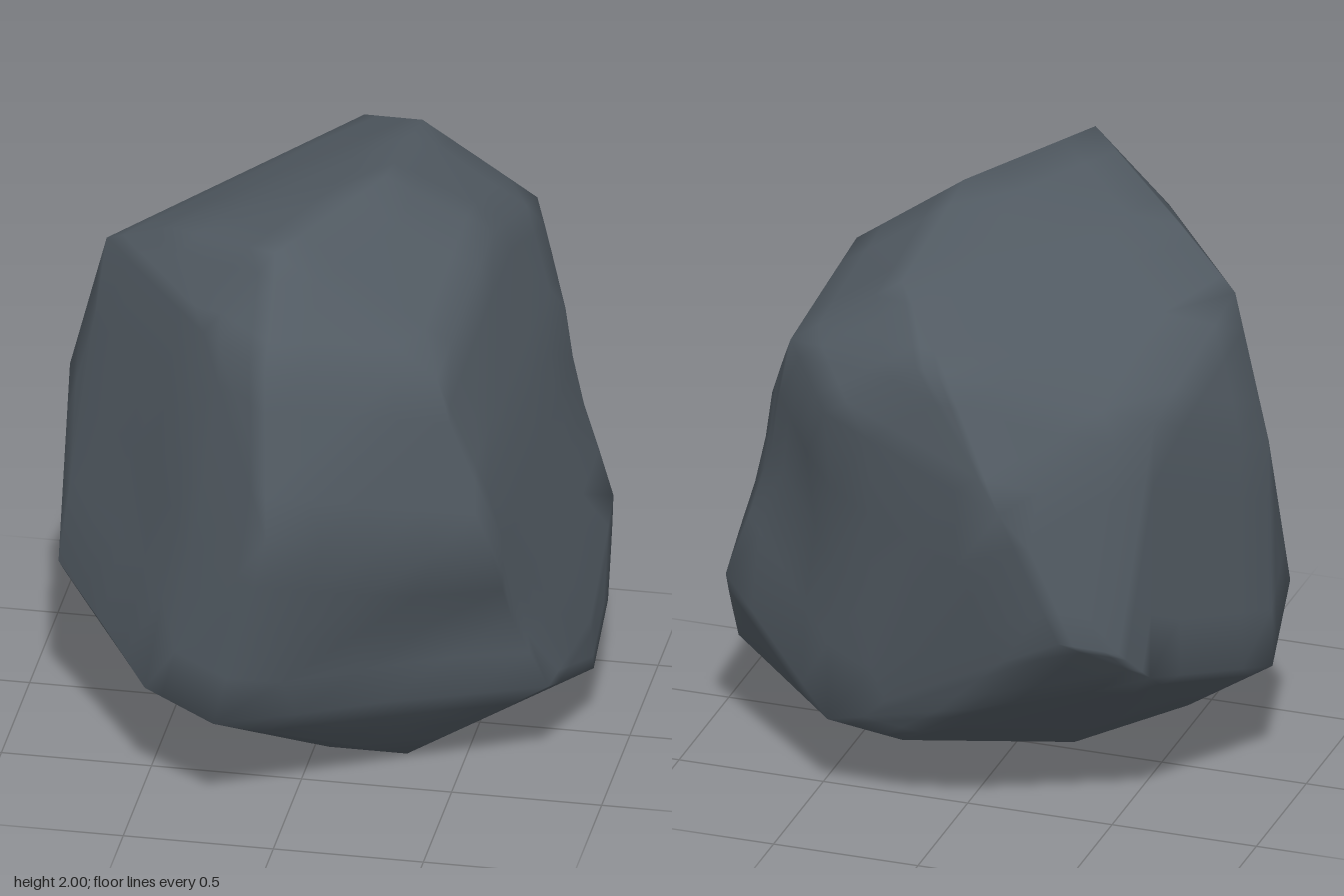
import * as THREE from 'three';
import { ConvexGeometry } from 'three/addons/geometries/ConvexGeometry.js';
import { mergeVertices } from 'three/addons/utils/BufferGeometryUtils.js';

// Corners of the boulder, grouped by region
const crown = [
  [-0.07, 1.98, 0.58], [0.19, 2, 0.02], [0.2, 1.9, -0.58], [0.53, 1.78, -0.08],
  [0.58, 1.64, -0.6], [0.39, 1.5, -0.82], [-0.05, 1.74, -0.88], [0.05, 1.74, -0.87],
  [-0.49, 1.85, 0.22], [-0.73, 1.71, 0.07], [-0.06, 1.67, 0.83], [0.47, 1.58, 0.6],
  [-0.3, 1.7, 0.65], [-0.65, 1.49, -0.51],
];
const waist = [
  [-0.03, 1.12, 0.97], [0.64, 0.92, 0.59], [0.63, 1.15, 0.55], [0.72, 1.34, -0.42],
  [-0.27, 1.3, -0.97], [-0.45, 0.83, -0.9], [-0.61, 0.75, -0.75], [-0.67, 0.61, -0.61],
  [-0.86, 1.21, 0.03], [-0.855, 0.6, 0.26], [0.87, 0.66, -0.42], [-0.38, 1.18, 0.66],
];
const foot = [
  [-0.22, 0.39, 0.9], [-0.48, 0.41, 0.73], [-0.89, 0.42, -0.02], [-0.55, 0.16, 0.12],
  [-0.1, 0.47, -0.75], [0.06, 0.25, -0.48], [0.18, 0.26, -0.63], [0.43, 0.31, -0.66],
  [0.87, 0.21, -0.05], [0.88, 0.36, -0.25], [0.865, 0.4, -0.02], [0.79, 0.33, 0.33],
  [0.31, 0.01, 0.28], [-0.18, 0, 0.05], [0.05, 0.01, 0.28],
];

// Shallow hollows: centre, radius, push
const hollows = [
  { at: new THREE.Vector3(0.42, 0.58, 0.65), radius: 0.22, push: new THREE.Vector3(-0.02, 0, -0.07) },
  { at: new THREE.Vector3(0.72, 0.58, 0.44), radius: 0.14, push: new THREE.Vector3(-0.03, 0, -0.03) },
  { at: new THREE.Vector3(0.64, 1.05, -0.63), radius: 0.3, push: new THREE.Vector3(-0.05, 0, 0.05) },
  { at: new THREE.Vector3(-0.5, 0.75, 0.52), radius: 0.2, push: new THREE.Vector3(0.02, 0, -0.03) },
];

// Splits every triangle into four, keeping the flat facets
function subdivide(triangles) {
  return triangles.flatMap(([a, b, c]) => {
    const mid = (p, q) => p.clone().add(q).multiplyScalar(0.5);
    const ab = mid(a, b), bc = mid(b, c), ca = mid(c, a);
    return [[a, ab, ca], [ab, b, bc], [ca, bc, c], [ab, bc, ca]];
  });
}

function boulderGeometry() {
  const corners = [...crown, ...waist, ...foot].map(p => new THREE.Vector3(...p));
  const hull = new ConvexGeometry(corners).getAttribute('position');
  let triangles = [];
  for (let i = 0; i < hull.count; i += 3) {
    triangles.push([0, 1, 2].map(k => new THREE.Vector3().fromBufferAttribute(hull, i + k)));
  }
  for (let n = 0; n < 2; n++) triangles = subdivide(triangles);

  // Press in the hollows
  const points = triangles.flat().map(p => {
    const q = p.clone();
    for (const { at, radius, push } of hollows) {
      q.addScaledVector(push, Math.exp(-p.distanceToSquared(at) / (radius * radius)));
    }
    return q;
  });

  // Shared corners give soft edges between the facets
  const geometry = mergeVertices(new THREE.BufferGeometry().setFromPoints(points), 1e-4);
  geometry.computeVertexNormals();
  return geometry;
}

export function createModel() {
  const group = new THREE.Group();
  group.name = 'rock';
  const slate = new THREE.MeshStandardMaterial({ color: 0x525b63 });
  slate.name = 'slate grey';
  const boulder = new THREE.Mesh(boulderGeometry(), slate);
  boulder.name = 'boulder';
  group.add(boulder);
  return group;
}
